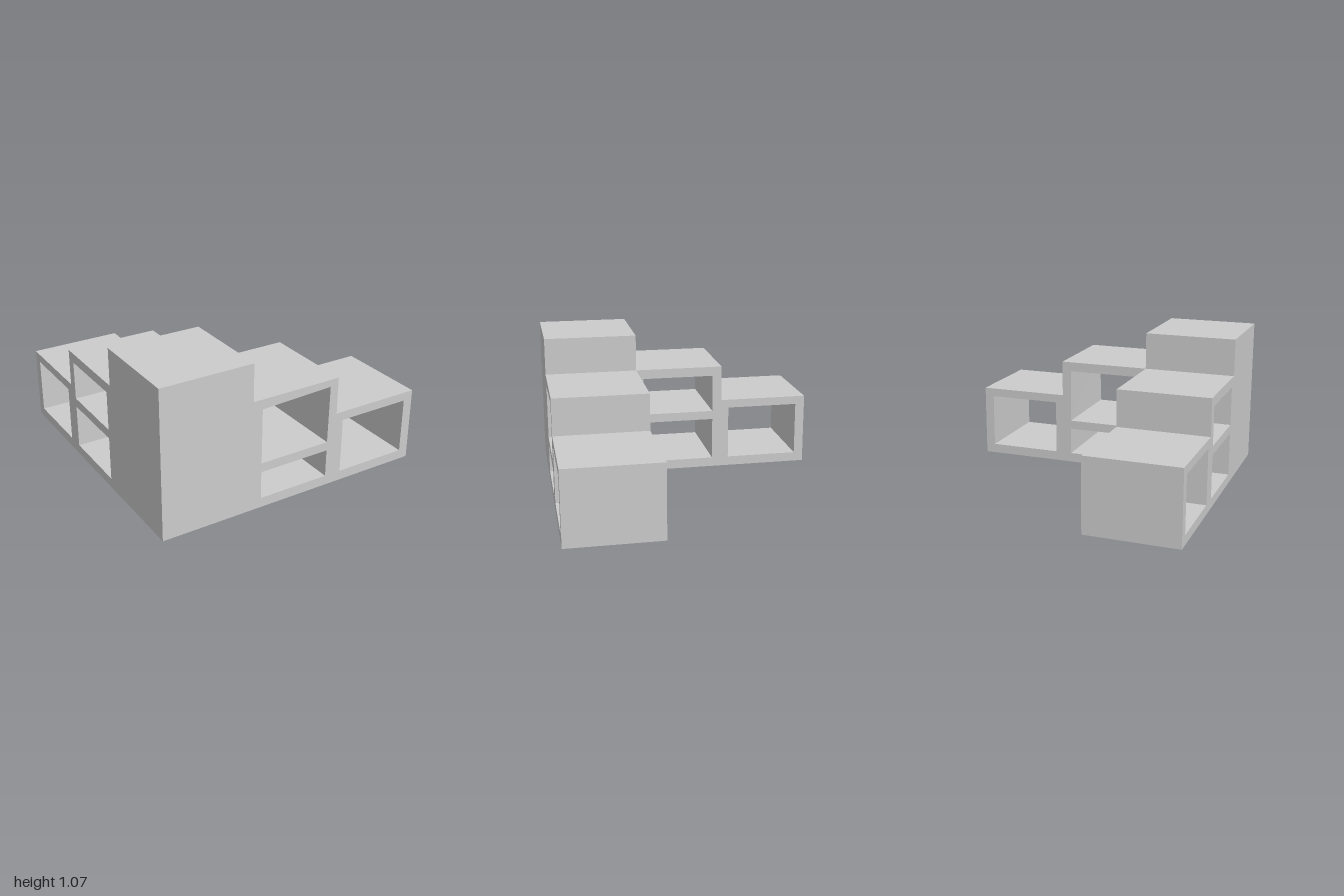
import * as THREE from 'three';

const material = new THREE.MeshStandardMaterial({ color: 0xcccccc, flatShading: true });

// Rectangular opening: left, right, bottom, top
const opening = ([l, r, b, t]) => new THREE.Path([[l, b], [l, t], [r, t], [r, b]].map(p => new THREE.Vector2(...p)));

// Stepped outline with openings, extruded through its depth
function wing(name, outline, openings, depth) {
  const shape = new THREE.Shape(outline.map(p => new THREE.Vector2(...p)));
  shape.holes = openings.map(opening);
  const geometry = new THREE.ExtrudeGeometry(shape, { depth, bevelEnabled: false });
  const mesh = new THREE.Mesh(geometry, material);
  mesh.name = name;
  return mesh;
}

const openings = [
  [-0.265, 0.265, 0.07, 0.27],
  [-0.265, 0.265, 0.335, 0.73],
  [0.39, 0.93, 0.07, 0.47],
];
const sideOpenings = [
  [-0.27, 0.263, 0.07, 0.385],
  [-0.27, 0.263, 0.45, 0.73],
  [0.39, 0.93, 0.07, 0.47],
];
// Middle and low steps shared by both wings
const steps = [[0.333, 0], [1, 0], [1, 0.533], [0.333, 0.533], [0.333, 0.8]];

export function createModel() {
  const group = new THREE.Group();
  group.name = 'cornerShelf';

  // Front wing, including the solid corner tower
  const front = wing('frontWing',
    [[-1, 0], ...steps, [-0.335, 0.8], [-0.335, 1.067], [-1, 1.067]], openings, 0.675);
  front.position.z = 0.325;
  // The upper opening rises slightly at its front right corner
  const p = front.geometry.attributes.position;
  for (let i = 0; i < p.count; i++) {
    if (p.getZ(i) > 0.5 && Math.abs(p.getX(i) - 0.265) < 0.001 && Math.abs(p.getY(i) - 0.73) < 0.001) p.setXY(i, 0.27, 0.75);
  }
  front.geometry.computeVertexNormals();
  group.add(front);

  // Side wing running back from the tower
  const side = wing('sideWing', [[-0.325, 0], ...steps, [-0.325, 0.8]], sideOpenings, 0.665);
  side.geometry.rotateY(Math.PI / 2);
  side.position.x = -1;
  group.add(side);

  return group;
}
